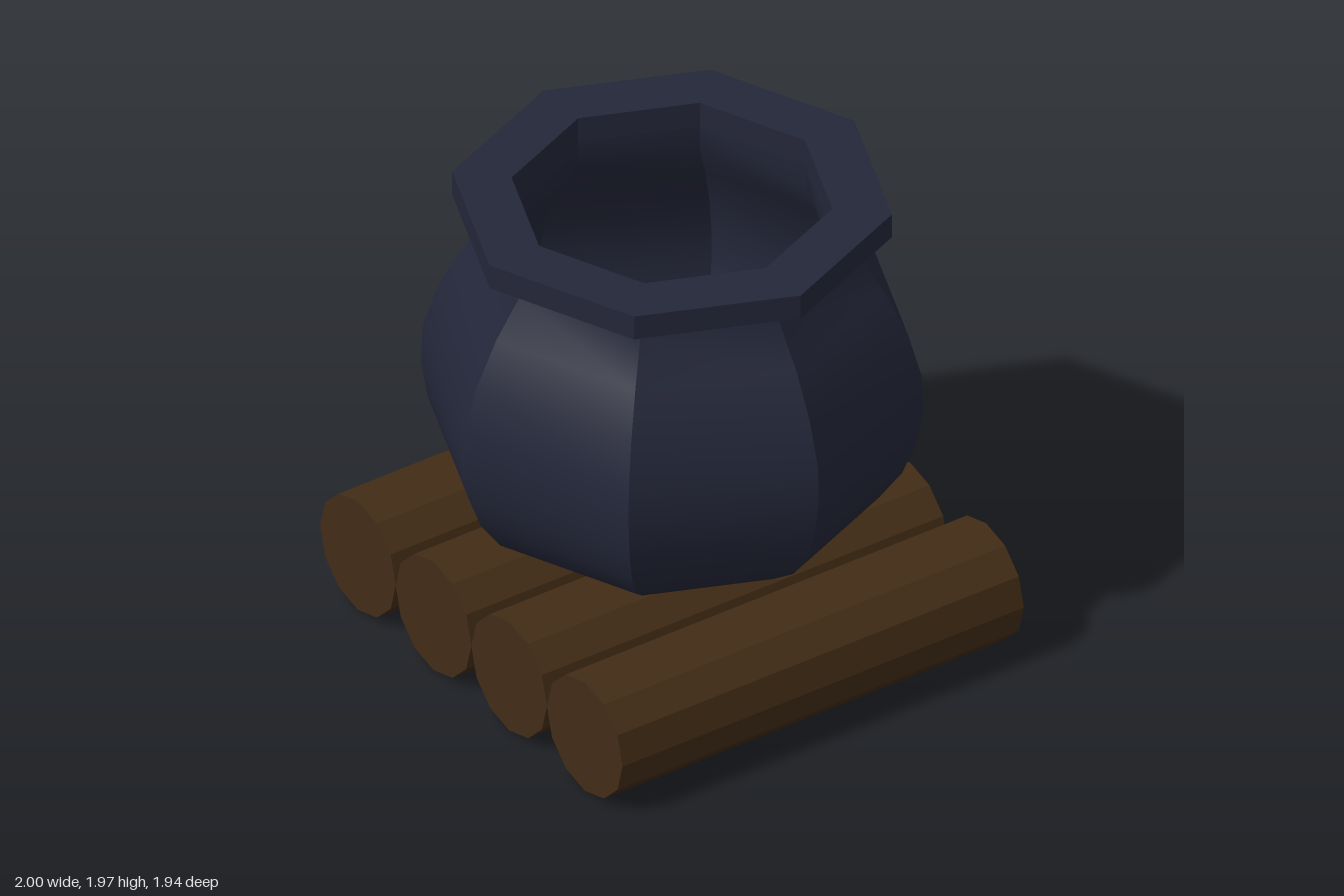
import * as THREE from 'three';
import { toCreasedNormals } from 'three/addons/utils/BufferGeometryUtils.js';

export function createModel() {
  const model = new THREE.Group();
  model.name = 'cauldronOnLogs';
  const iron = new THREE.MeshStandardMaterial({ color: 0x24273a });
  const wood = new THREE.MeshStandardMaterial({ color: 0x432c16, flatShading: true });

  // Eight-sided lathe: smooth along the profile, sharp between the facets
  const addLathe = (name, profile) => {
    const points = profile.map(([r, y]) => new THREE.Vector2(r, y));
    const geometry = toCreasedNormals(new THREE.LatheGeometry(points, 8), Math.PI / 6);
    const mesh = new THREE.Mesh(geometry, iron);
    mesh.name = name;
    model.add(mesh);
  };

  // Pot: outer wall from the base up to the neck, then the inner wall down to the floor
  addLathe('pot', [
    [0, 0.47], [0.31, 0.47], [0.53, 0.495], [0.67, 0.565], [0.8, 0.66], [0.89, 0.785],
    [0.945, 0.925], [0.97, 1.08], [0.965, 1.24], [0.91, 1.43], [0.82, 1.61], [0.71, 1.77], [0.7, 1.87],
    [0.62, 1.87], [0.63, 1.74], [0.74, 1.57], [0.83, 1.39], [0.88, 1.22], [0.88, 1.08],
    [0.86, 0.95], [0.81, 0.83], [0.73, 0.72], [0.62, 0.64], [0.5, 0.58], [0.3, 0.555], [0, 0.555],
  ]);

  // Rim: closed flat ring overhanging the neck
  addLathe('rim', [[0.62, 1.86], [0.85, 1.865], [0.85, 1.97], [0.62, 1.97], [0.62, 1.86]]);

  // Row of logs running front to back
  const logGeometry = new THREE.CylinderGeometry(0.25, 0.25, 1.87, 12).rotateX(Math.PI / 2);
  for (let i = 0; i < 4; i++) {
    const log = new THREE.Mesh(logGeometry, wood);
    log.name = `log${i + 1}`;
    log.position.set(-0.75 + i * 0.5, 0.25, 0);
    model.add(log);
  }
  return model;
}
